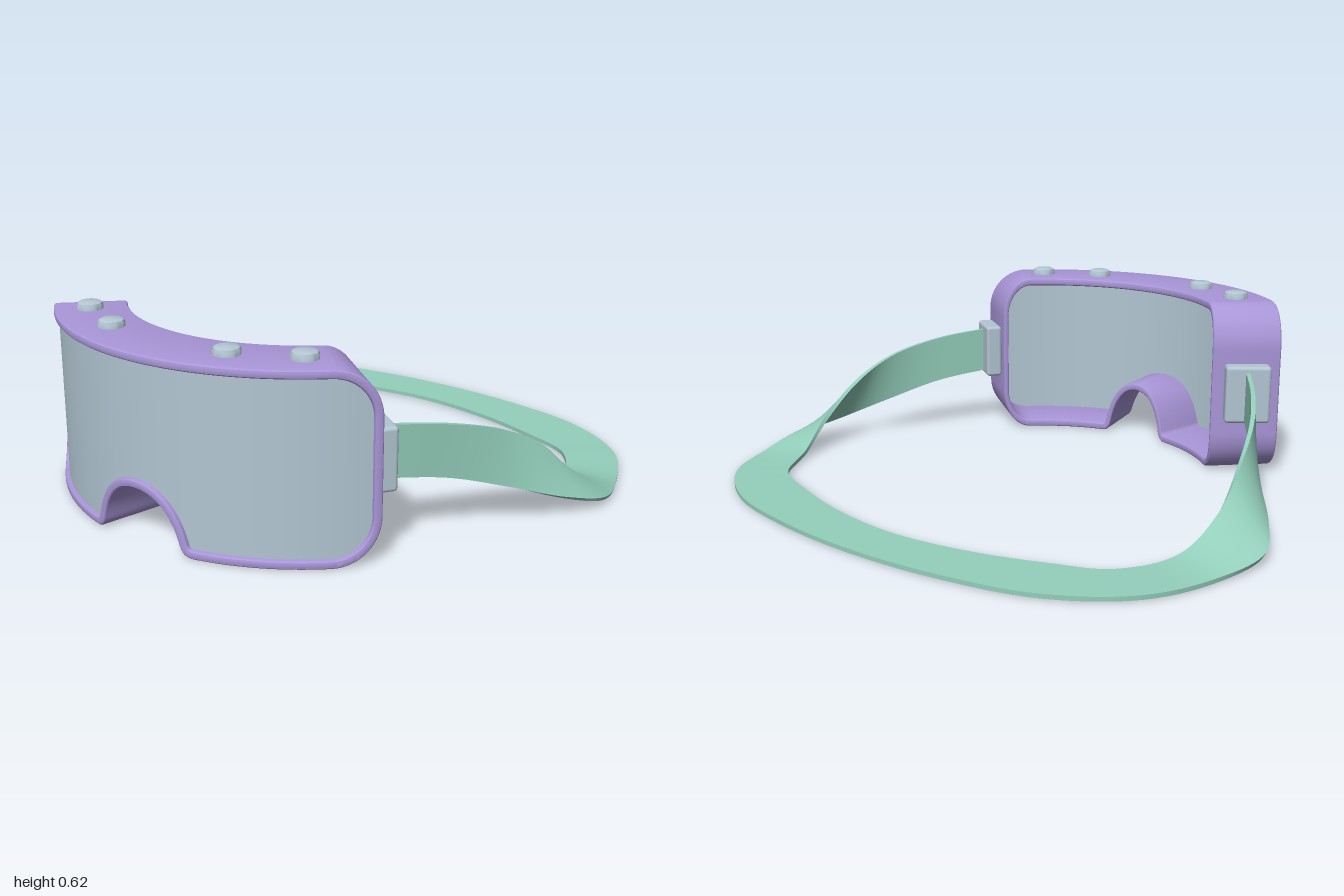
import * as THREE from 'three';
import { toCreasedNormals } from 'three/addons/utils/BufferGeometryUtils.js';
import { RoundedBoxGeometry } from 'three/addons/geometries/RoundedBoxGeometry.js';

const R_OUT = 0.815, R_IN = 0.58, CENTER_Z = 0.06; // bend of the goggle body
const HALF = 0.76, HEIGHT = 0.6, CORNER = 0.15;    // unrolled outline
const END = HALF / R_OUT;                          // angle of the end faces

const mat = (name, color) => {
  const m = new THREE.MeshStandardMaterial({ color });
  m.name = name;
  return m;
};

// Wraps an unrolled point (s along the arc, y up) onto a cylinder of radius r
const bend = (s, y, r) => new THREE.Vector3(
  Math.sin(s / R_OUT) * r, y, CENTER_Z + Math.cos(s / R_OUT) * r);

// Skins a list of closed rings; loop joins the last ring to the first
function loft(rings, loop, crease) {
  const n = rings[0].length, index = [];
  const count = loop ? rings.length : rings.length - 1;
  for (let i = 0; i < count; i++) {
    for (let j = 0; j < n; j++) {
      const k = (i + 1) % rings.length, l = (j + 1) % n;
      const a = i * n + j, b = k * n + j, c = k * n + l, d = i * n + l;
      index.push(a, b, c, a, c, d);
    }
  }
  if (!loop) {
    const e = (rings.length - 1) * n;
    for (let j = 1; j < n - 1; j++) index.push(0, j, j + 1, e, e + j + 1, e + j);
  }
  const g = new THREE.BufferGeometry().setFromPoints(rings.flat());
  g.setIndex(index);
  return toCreasedNormals(g, crease);
}

// Frame: rounded wall section swept round an outline with a nose notch
function frameGeometry() {
  const o = new THREE.Shape(), h = HALF, c = CORNER, t = HEIGHT;
  o.moveTo(-h + c, 0);
  o.lineTo(-0.2, 0);
  o.quadraticCurveTo(-0.165, 0, -0.155, 0.035);
  o.bezierCurveTo(-0.13, 0.13, -0.075, 0.18, 0, 0.18);
  o.bezierCurveTo(0.075, 0.18, 0.13, 0.13, 0.155, 0.035);
  o.quadraticCurveTo(0.165, 0, 0.2, 0);
  o.lineTo(h - c, 0);
  o.absarc(h - c, c, c, -Math.PI / 2, 0);
  o.absarc(h - c, t - c, c, 0, Math.PI / 2);
  o.absarc(-h + c, t - c, c, Math.PI / 2, Math.PI);
  o.absarc(-h + c, c, c, Math.PI, Math.PI * 1.5);
  const pts = o.getSpacedPoints(400);
  pts.pop();

  // Wall section as [inward offset, radius]
  const w = 0.028, b = 0.009, section = [];
  [[b, R_IN + b, 180], [b, R_OUT - b, 90], [w - b, R_OUT - b, 0], [w - b, R_IN + b, -90]]
    .forEach(([x, r, start], q) => {
      for (let k = 0; k <= 3; k++) {
        const a = THREE.MathUtils.degToRad([270, 180, 90, 0][q] - k * 30);
        section.push([x + b * Math.cos(a), r + b * Math.sin(a)]);
      }
    });

  const rings = pts.map((p, i) => {
    const next = pts[(i + 1) % pts.length], prev = pts[(i + pts.length - 1) % pts.length];
    const d = next.clone().sub(prev).normalize();
    return section.map(([off, r]) => bend(p.x - d.y * off, p.y + d.x * off, r));
  });
  return loft(rings, true, 0.4);
}

// Lens: curved plate in columns, its edge buried in the frame wall
function lensGeometry() {
  const inset = 0.014, half = HALF - inset, r = CORNER - inset, N = 240, rings = [];
  for (let i = 0; i <= N; i++) {
    const s = -half * Math.cos(Math.PI * i / N) * 0.4 + half * (2 * i / N - 1) * 0.6;
    const a = Math.max(0, Math.abs(s) - (half - r));
    const cut = inset + r - Math.sqrt(Math.max(0, r * r - a * a));
    const notch = 0.194 * Math.sqrt(Math.max(0, 1 - (s / 0.172) ** 2));
    const low = Math.max(cut, notch), high = HEIGHT - cut;
    rings.push([bend(s, low, 0.8), bend(s, high, 0.8), bend(s, high, 0.785), bend(s, low, 0.785)]);
  }
  return loft(rings, false, 0.5);
}

// Strap: ribbon between two edge curves, upright at the buckles and flat behind
function strapGeometry() {
  // upper edge xyz, lower edge xyz, from the left buckle to the middle of the back
  const half = [
    [0.575, 0.388, 0.455, 0.575, 0.222, 0.455],
    [0.695, 0.36, 0.27, 0.695, 0.19, 0.27],
    [0.782, 0.31, 0.1, 0.812, 0.13, 0.1],
    [0.825, 0.23, -0.05, 0.925, 0.07, -0.05],
    [0.838, 0.115, -0.2, 0.997, 0.03, -0.2],
    [0.8, 0.025, -0.34, 0.955, 0.01, -0.4],
    [0.695, 0.01, -0.52, 0.85, 0.009, -0.62],
    [0.52, 0.009, -0.6, 0.63, 0.009, -0.78],
    [0.28, 0.009, -0.675, 0.33, 0.009, -0.855],
    [0, 0.009, -0.71, 0, 0.009, -0.88],
  ];
  const mirrored = half.slice(0, -1).reverse()
    .map(([a, b, c, d, e, f]) => [-a, b, c, -d, e, f]);
  const all = [...half, ...mirrored];
  const edge = (k) => new THREE.CatmullRomCurve3(
    all.map((p) => new THREE.Vector3(p[k], p[k + 1], p[k + 2])));
  const upper = edge(0).getPoints(180), lower = edge(3).getPoints(180);
  const mid = upper.map((p, i) => p.clone().add(lower[i]).multiplyScalar(0.5));
  const rings = upper.map((a, i) => {
    const b = lower[i];
    const t = mid[Math.min(i + 1, 180)].clone().sub(mid[Math.max(i - 1, 0)]);
    const n = t.cross(a.clone().sub(b)).normalize().multiplyScalar(0.007);
    return [b.clone().add(n), a.clone().add(n), a.clone().sub(n), b.clone().sub(n)];
  });
  return loft(rings, false, 0.7);
}

export function createModel() {
  const purple = mat('framePurple', 0xa996d8);
  const grey = mat('paleBlueGrey', 0xb2c6d2);
  const green = mat('strapGreen', 0x94cfbc);
  const model = new THREE.Group();
  model.name = 'goggles';
  const add = (name, geometry, material) => {
    const m = new THREE.Mesh(geometry, material);
    m.name = name;
    model.add(m);
    return m;
  };

  add('frame', frameGeometry(), purple);
  add('lens', lensGeometry(), grey);
  add('strap', strapGeometry(), green);

  // Buckles on the end faces and vent studs along the top
  const buckle = new RoundedBoxGeometry(0.06, 0.2, 0.155, 3, 0.012);
  const studProfile = [[0, -0.01], [0.042, -0.01], [0.042, 0.012], [0.038, 0.02], [0.03, 0.024], [0, 0.025]]
    .map(([x, y]) => new THREE.Vector2(x, y));
  const stud = toCreasedNormals(new THREE.LatheGeometry(studProfile, 32), 0.6);
  for (const side of [1, -1]) {
    const label = side > 0 ? 'left' : 'right';
    const b = add(label + 'Buckle', buckle, grey);
    b.position.set(side * 0.578, 0.305, 0.453);
    b.rotation.y = side * END;
    [[0.43, 0.615], [0.23, 0.715]].forEach(([x, z], i) => {
      add(label + 'Stud' + (i + 1), stud, grey).position.set(side * x, HEIGHT, z);
    });
  }
  return model;
}
